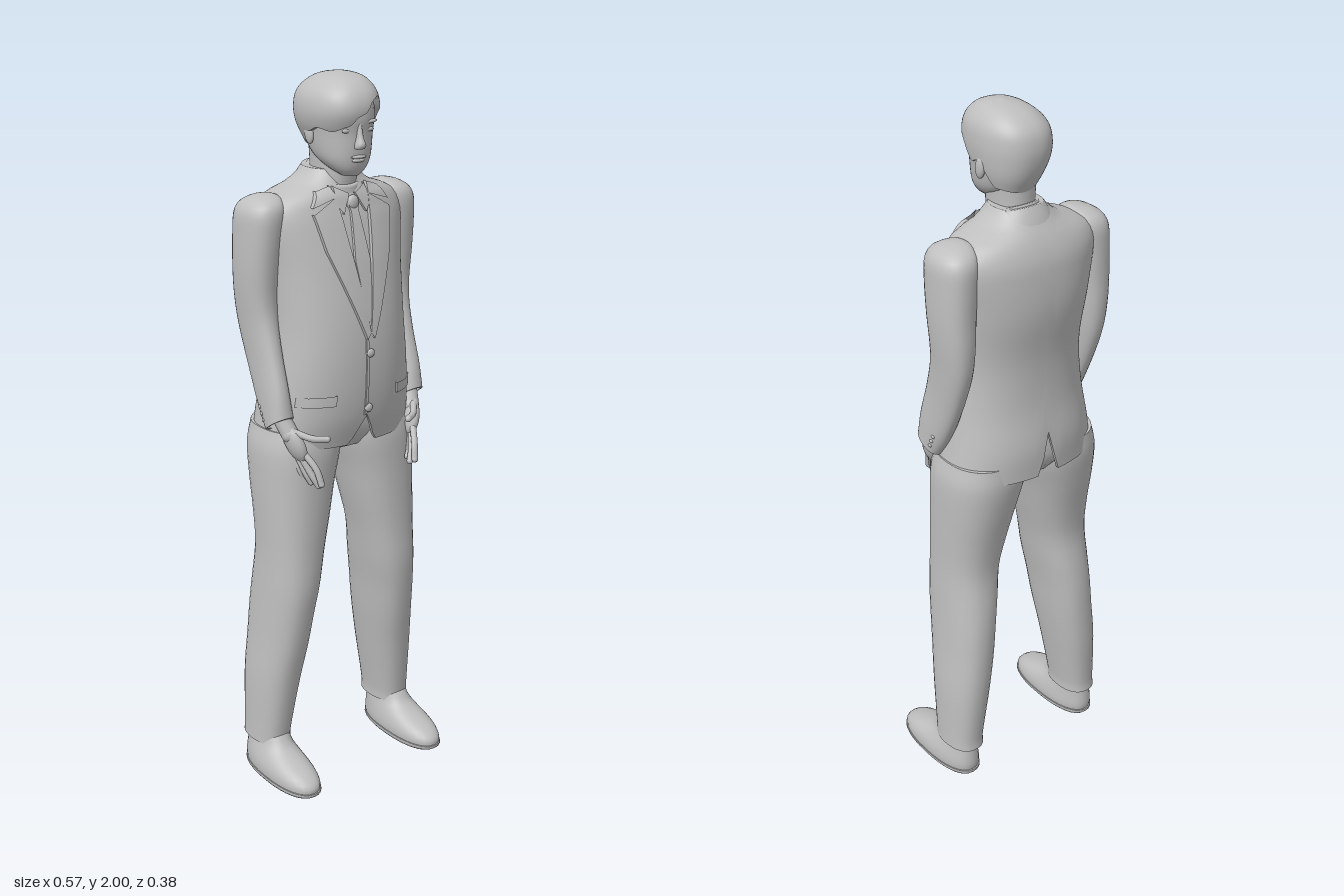
import * as THREE from 'three';

const P = 2.3; // roundness of the cross-sections

// Smoothly interpolate rings [y, centreX, halfWidth, frontZ, backZ, tilt] at a height
function sample(rings, y) {
  const n = rings.length;
  let i = 0;
  while (i < n - 2 && y > rings[i + 1][0]) i++;
  const a = rings[i], b = rings[i + 1], h = b[0] - a[0];
  const t = Math.min(1, Math.max(0, (y - a[0]) / h));
  const slope = (k, c) => {
    const p = rings[Math.max(0, k - 1)], q = rings[Math.min(n - 1, k + 1)];
    return ((q[c] || 0) - (p[c] || 0)) / (q[0] - p[0]);
  };
  const t2 = t * t, t3 = t2 * t;
  const f = c => (2 * t3 - 3 * t2 + 1) * (a[c] || 0) + (t3 - 2 * t2 + t) * h * slope(i, c)
    + (3 * t2 - 2 * t3) * (b[c] || 0) + (t3 - t2) * h * slope(i + 1, c);
  const zf = f(3), zb = f(4);
  return { cx: f(1), rx: Math.max(0.0005, f(2)), cz: (zf + zb) / 2, rz: Math.max(0.0005, (zf - zb) / 2), tilt: f(5) };
}

// Front surface depth of a lofted body
function frontZ(rings, x, y) {
  const r = sample(rings, y);
  const u = Math.min(1, Math.abs((x - r.cx) / r.rx));
  return r.cz + r.rz * Math.pow(1 - Math.pow(u, P), 1 / P);
}

function meshGrid(pos, rows, cols, wrap) {
  const index = [];
  for (let i = 0; i < rows - 1; i++) {
    for (let j = 0; j < (wrap ? cols : cols - 1); j++) {
      const a = i * cols + j, b = i * cols + (j + 1) % cols, c = a + cols, d = b + cols;
      index.push(a, c, b, b, c, d);
    }
  }
  const g = new THREE.BufferGeometry();
  g.setAttribute('position', new THREE.Float32BufferAttribute(pos, 3));
  g.setIndex(index);
  g.computeVertexNormals();
  return g;
}

// Skin a stack of rings; low(angle) shapes the lower edge, lip turns that edge inward
function loft(rings, { cols = 32, rows = 28, low = null, lip = 0.85 } = {}) {
  const pos = [], top = rings[rings.length - 1][0];
  const addRow = (t, k) => {
    for (let j = 0; j < cols; j++) {
      const th = j / cols * Math.PI * 2, c = Math.cos(th), s = Math.sin(th);
      const y0 = low ? low(th) : rings[0][0], y = y0 + (top - y0) * t, r = sample(rings, y);
      const dz = k * r.rz * Math.sign(s) * Math.pow(Math.abs(s), 2 / P);
      pos.push(r.cx + k * r.rx * Math.sign(c) * Math.pow(Math.abs(c), 2 / P), y + r.tilt * dz, r.cz + dz);
    }
  };
  addRow(0, lip);
  addRow(0, 1);
  for (let i = 0; i <= rows; i++) addRow((1 - Math.cos(i / rows * Math.PI)) / 2, 1);
  addRow(1, 0);
  return meshGrid(pos, rows + 4, cols, true);
}

// Raised cloth panel between two [x, y] edges, laid on a lofted body
function panel(rings, edgeA, edgeB, off) {
  if (edgeA[0][0] + edgeA[1][0] > edgeB[0][0] + edgeB[1][0]) [edgeA, edgeB] = [edgeB, edgeA];
  const pos = [], sub = 8, us = [0, 0, 0, 0.25, 0.5, 0.75, 1, 1, 1];
  const rows = (edgeA.length - 1) * sub + 1;
  const at = (e, t) => {
    const i = Math.min(e.length - 2, Math.floor(t)), f = t - i;
    return [e[i][0] + (e[i + 1][0] - e[i][0]) * f, e[i][1] + (e[i + 1][1] - e[i][1]) * f];
  };
  for (let i = 0; i < rows; i++) {
    const a = at(edgeA, i / sub), b = at(edgeB, i / sub);
    us.forEach((u, k) => {
      const x = a[0] + (b[0] - a[0]) * u, y = a[1] + (b[1] - a[1]) * u;
      pos.push(x, y, frontZ(rings, x, y) + (k === 0 || k === 8 ? -0.004 : off));
    });
  }
  return meshGrid(pos, rows, us.length, false);
}

const BODY = [
  [1.01, 0, .235, .115, -.185], [1.1, 0, .22, .14, -.187], [1.22, 0, .205, .15, -.17],
  [1.35, 0, .195, .143, -.168], [1.5, 0, .205, .115, -.186], [1.62, 0, .222, .082, -.178],
  [1.66, 0, .212, .068, -.165], [1.685, 0, .18, .06, -.152], [1.705, 0, .12, .05, -.138],
  [1.73, 0, .085, .04, -.12], [1.75, 0, .068, .03, -.105]];
const HEAD = [
  [1.738, 0, .022, .088, .045], [1.755, 0, .045, .1, 0], [1.78, 0, .064, .107, -.05],
  [1.81, 0, .073, .11, -.085], [1.85, 0, .079, .111, -.105], [1.89, 0, .083, .116, -.11],
  [1.94, 0, .076, .105, -.095], [1.975, 0, .045, .07, -.05]];
const HAIR = [
  [1.79, .004, .062, .07, -.088], [1.83, 0, .08, .105, -.108], [1.87, -.006, .093, .13, -.119],
  [1.91, -.008, .097, .142, -.121], [1.95, -.006, .089, .131, -.109], [1.98, -.002, .064, .1, -.074],
  [1.994, 0, .036, .063, -.033], [2, 0, .002, .02, .014]];
// Hairline heights by angle in degrees, sweeping low over the right eye
const HAIRLINE = [[0, 1.862], [12, 1.85], [30, 1.9], [55, 1.943], [70, 1.935], [90, 1.9], [110, 1.87],
  [135, 1.857], [160, 1.865], [180, 1.85], [205, 1.81], [270, 1.79], [335, 1.8], [360, 1.862]];

export function createModel() {
  const model = new THREE.Group();
  const grey = new THREE.MeshStandardMaterial({ color: 0xbfbfbf, side: THREE.DoubleSide });
  grey.name = 'plain grey';
  const add = (name, geometry, parent = model) => {
    const m = new THREE.Mesh(geometry, grey);
    m.name = name;
    parent.add(m);
    return m;
  };
  const blob = (name, x, y, z, sx, sy, sz, parent) => {
    const m = add(name, new THREE.SphereGeometry(1, 20, 14), parent);
    m.position.set(x, y, z);
    m.scale.set(sx, sy, sz);
    return m;
  };

  // Jacket with a front opening and a back vent in the hem
  const hem = th => {
    const x = Math.abs(Math.cos(th)) * .235, front = Math.sin(th) > 0;
    return 1.012 + (front ? .085 : .125) * Math.max(0, 1 - x / (front ? .034 : .022));
  };
  add('jacket', loft(BODY, { cols: 112, rows: 44, low: hem, lip: .95 }));
  add('jacketCollar', loft([[1.665, 0, .105, .055, -.14, -.3], [1.705, 0, .087, .048, -.124, -.3], [1.735, 0, .071, .045, -.108, -.3]], { rows: 8 }));
  add('shirtCollar', loft([[1.69, 0, .067, .062, -.1, -.35], [1.735, 0, .06, .056, -.096, -.35]], { rows: 4 }));
  add('tie', panel(BODY, [[-.019, 1.68], [-.012, 1.645], [-.024, 1.52], [-.006, 1.35]], [[.019, 1.68], [.012, 1.645], [.024, 1.52], [.006, 1.35]], .008));
  blob('tieKnot', 0, 1.665, frontZ(BODY, 0, 1.665) + .004, .018, .021, .011);
  add('frontEdge', panel(BODY, [[-.012, 1.33], [-.012, 1.1]], [[-.004, 1.33], [-.004, 1.1]], .004));
  for (const y of [1.275, 1.12]) blob('button', 0, y, frontZ(BODY, 0, y) + .004, .012, .012, .006);

  // Trousers seat
  add('trouserSeat', loft([[.985, 0, .13, .06, -.13], [1.03, 0, .215, .085, -.16], [1.12, 0, .19, .09, -.15]], { rows: 10, lip: 0 }));

  for (const s of [1, -1]) {
    const side = new THREE.Group();
    side.name = s > 0 ? 'leftSide' : 'rightSide';
    model.add(side);
    const mirror = rings => rings.map(([y, x, ...rest]) => [y, x * s, ...rest]);
    const flip = pts => pts.map(([x, y]) => [x * s, y]);

    // Lapel, collar wing, shirt collar point and pocket flap
    add('lapel', panel(BODY, flip([[.052, 1.685], [.037, 1.57], [0, 1.33]]), flip([[.122, 1.645], [.102, 1.55], [.012, 1.315]]), .011), side);
    add('collarWing', panel(BODY, flip([[.06, 1.712], [.05, 1.685]]), flip([[.098, 1.7], [.122, 1.662]]), .013), side);
    add('shirtCollarPoint', panel(BODY, flip([[.01, 1.69], [.036, 1.64]]), flip([[.05, 1.71], [.054, 1.665]]), .01), side);
    add('pocketFlap', panel(BODY, flip([[.1, 1.17], [.102, 1.14]]), flip([[.19, 1.165], [.193, 1.138]]), .007), side);

    // Sleeve
    add('sleeve', loft(mirror([
      [1.09, .221, .034, .083, .003, .65], [1.15, .222, .033, .071, -.032, .6], [1.25, .221, .034, .042, -.082, .4],
      [1.35, .221, .04, .018, -.122, .15], [1.42, .222, .046, .012, -.132, 0], [1.5, .222, .051, .018, -.132, 0],
      [1.6, .217, .055, .028, -.132, 0], [1.65, .212, .056, .028, -.128, 0], [1.675, .205, .047, .016, -.112, 0],
      [1.69, .195, .028, -.012, -.082, 0], [1.694, .19, .01, -.035, -.06, 0]]), { rows: 36 }), side);
    for (const k of [0, 1, 2]) blob('cuffButton', s * .25, 1.098 + k * .017, .012 - k * .008, .006, .006, .006, side);

    // Hand with splayed fingers
    const tube = (name, pts, r) => {
      const v = pts.map(([x, y, z]) => new THREE.Vector3(x * s, y, z)), e = v[v.length - 1];
      add(name, new THREE.TubeGeometry(new THREE.CatmullRomCurve3(v), 12, r, 10), side);
      blob(name + 'Tip', e.x, e.y, e.z, r, r, r, side);
    };
    tube('wrist', [[.222, 1.14, .03], [.215, 1.1, .05], [.206, 1.065, .07]], .024);
    const palm = blob('palm', s * .198, 1.04, .08, .021, .056, .034, side);
    palm.rotation.set(-.4, 0, -s * .3);
    tube('thumb', [[.204, 1.075, .085], [.17, 1.06, .125], [.138, 1.058, .145]], .0095);
    tube('indexFinger', [[.19, 1.025, .1], [.168, .975, .138], [.16, .935, .15]], .009);
    tube('middleFinger', [[.19, 1.01, .093], [.169, .95, .122], [.157, .925, .132]], .009);
    tube('ringFinger', [[.193, 1.01, .08], [.176, .95, .104], [.166, .93, .109]], .0085);
    tube('littleFinger', [[.197, 1.01, .066], [.185, .96, .084], [.177, .94, .085]], .008);

    // Trouser leg
    add('trouserLeg', loft(mirror([
      [.1, .216, .055, .03, -.132], [.13, .215, .055, .031, -.13], [.3, .2, .066, .055, -.14],
      [.42, .186, .07, .077, -.141], [.52, .177, .073, .092, -.138], [.6, .168, .078, .101, -.13],
      [.7, .158, .084, .1, -.118], [.8, .147, .096, .1, -.13], [.9, .137, .108, .1, -.15],
      [1, .124, .12, .1, -.165], [1.06, .12, .11, .09, -.16]]), { rows: 40 }), side);

    // Shoe and its sole
    add('shoe', loft(mirror([
      [.016, .22, .062, .193, -.12], [.035, .22, .063, .19, -.122], [.055, .22, .06, .165, -.12],
      [.075, .219, .054, .112, -.117], [.095, .218, .048, .062, -.114], [.13, .216, .042, .03, -.11]]), { rows: 16 }), side);
    add('sole', loft(mirror([[0, .22, .058, .182, -.116], [.009, .22, .064, .196, -.124], [.018, .22, .064, .196, -.124]]), { rows: 5, lip: 0 }), side);
  }

  // Neck and head, turned slightly to the right
  add('neck', loft([[1.66, 0, .06, .045, -.095], [1.74, 0, .053, .055, -.087], [1.83, 0, .058, .06, -.09]], { rows: 10 }));
  const head = new THREE.Group();
  head.name = 'head';
  head.rotation.y = -.08;
  model.add(head);
  add('face', loft(HEAD, { cols: 48, rows: 32, lip: 0 }), head);
  const hairline = th => {
    const d = th * 180 / Math.PI;
    let i = 0;
    while (i < HAIRLINE.length - 2 && d > HAIRLINE[i + 1][0]) i++;
    const [a, ya] = HAIRLINE[i], [b, yb] = HAIRLINE[i + 1];
    return ya + (yb - ya) * THREE.MathUtils.smoothstep(d, a, b);
  };
  add('hair', loft(HAIR, { cols: 72, rows: 28, low: hairline, lip: .82 }), head);
  add('nose', loft([[1.812, 0, .014, .126, .09], [1.822, 0, .014, .133, .09], [1.84, 0, .009, .125, .09], [1.875, 0, .007, .115, .09]], { cols: 20, rows: 12, lip: 0 }), head);
  blob('upperLip', 0, 1.79, .107, .023, .005, .008, head);
  blob('lowerLip', 0, 1.781, .105, .019, .006, .008, head);
  for (const s of [1, -1]) {
    blob('eye', s * .034, 1.858, frontZ(HEAD, .034, 1.858) - .002, .014, .006, .005, head);
    blob('brow', s * .036, 1.878, frontZ(HEAD, .036, 1.878) - .001, .02, .005, .006, head).rotation.z = s * .1;
    blob('ear', s * .081, 1.845, -.005, .01, .031, .018, head).rotation.x = -.2;
  }
  return model;
}
